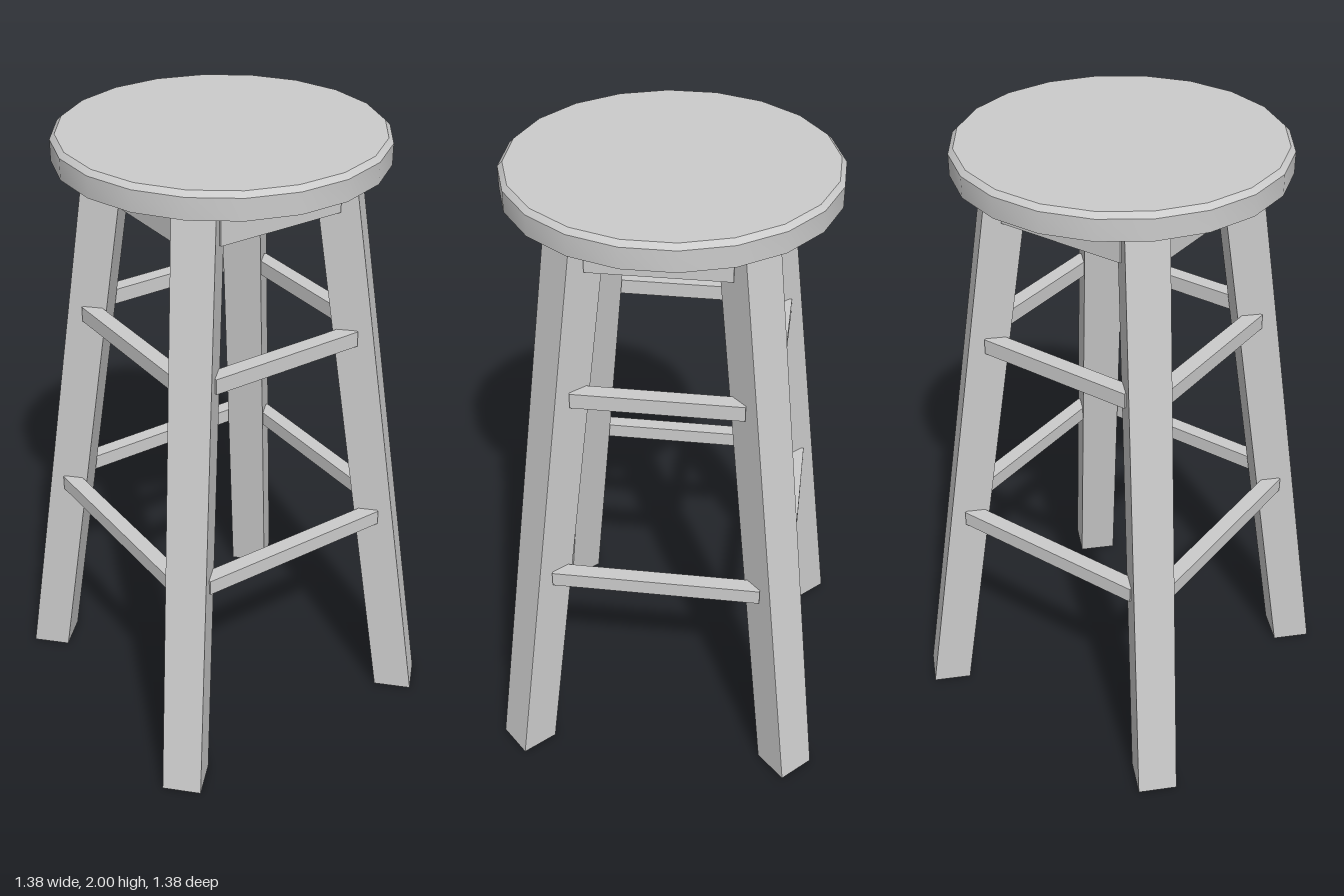
import * as THREE from 'three';
import { toCreasedNormals } from 'three/addons/utils/BufferGeometryUtils.js';

export function createModel() {
  const stool = new THREE.Group();
  stool.name = 'stool';
  const material = new THREE.MeshStandardMaterial({ color: 0xcccccc });

  const add = (name, geometry, parent = stool) => {
    const mesh = new THREE.Mesh(geometry, material);
    mesh.name = name;
    parent.add(mesh);
    return mesh;
  };

  // Seat: 20-sided disc with a small bevel round the top edge
  const profile = [[0, 1.92], [0.5, 1.92], [0.5, 1.985], [0.485, 2], [0, 2]]
    .map(([r, y]) => new THREE.Vector2(r, y));
  add('seat', toCreasedNormals(new THREE.LatheGeometry(profile, 20), 0.4));

  // Leg: slanted side outline, cut level at the floor and under the seat
  const legWidth = 0.126;
  const outline = new THREE.Shape([[0.565, 0], [0.69, 0], [0.402, 1.92], [0.279, 1.92]]
    .map(([x, y]) => new THREE.Vector2(x, y)));
  const legGeometry = new THREE.ExtrudeGeometry(outline, { depth: legWidth, bevelEnabled: false });
  legGeometry.translate(0, 0, -legWidth / 2);

  // Bars joining neighbouring legs: reach is the x of the outer end corner
  const bars = [
    { name: 'apron', reach: 0.365, bottom: 1.79, top: 1.92 },
    { name: 'upperRung', reach: 0.435, bottom: 1.355, top: 1.405 },
    { name: 'lowerRung', reach: 0.535, bottom: 0.7, top: 0.75 },
  ];
  const inset = 0.068;
  const thickness = 0.05;

  // Four identical quarters: one leg and the bars on the diagonal beside it
  for (let i = 0; i < 4; i++) {
    const quarter = new THREE.Group();
    quarter.name = `quarter${i + 1}`;
    quarter.rotation.y = (i * Math.PI) / 2;
    stool.add(quarter);
    add('leg', legGeometry, quarter);

    for (const { name, reach, bottom, top } of bars) {
      const length = (reach - inset) * Math.SQRT2;
      const distance = (reach + inset) / Math.SQRT2 - thickness / 2;
      const bar = add(name, new THREE.BoxGeometry(length, top - bottom, thickness), quarter);
      bar.position.set(distance * Math.SQRT1_2, (bottom + top) / 2, distance * Math.SQRT1_2);
      bar.rotation.y = Math.PI / 4;
    }
  }
  return stool;
}
